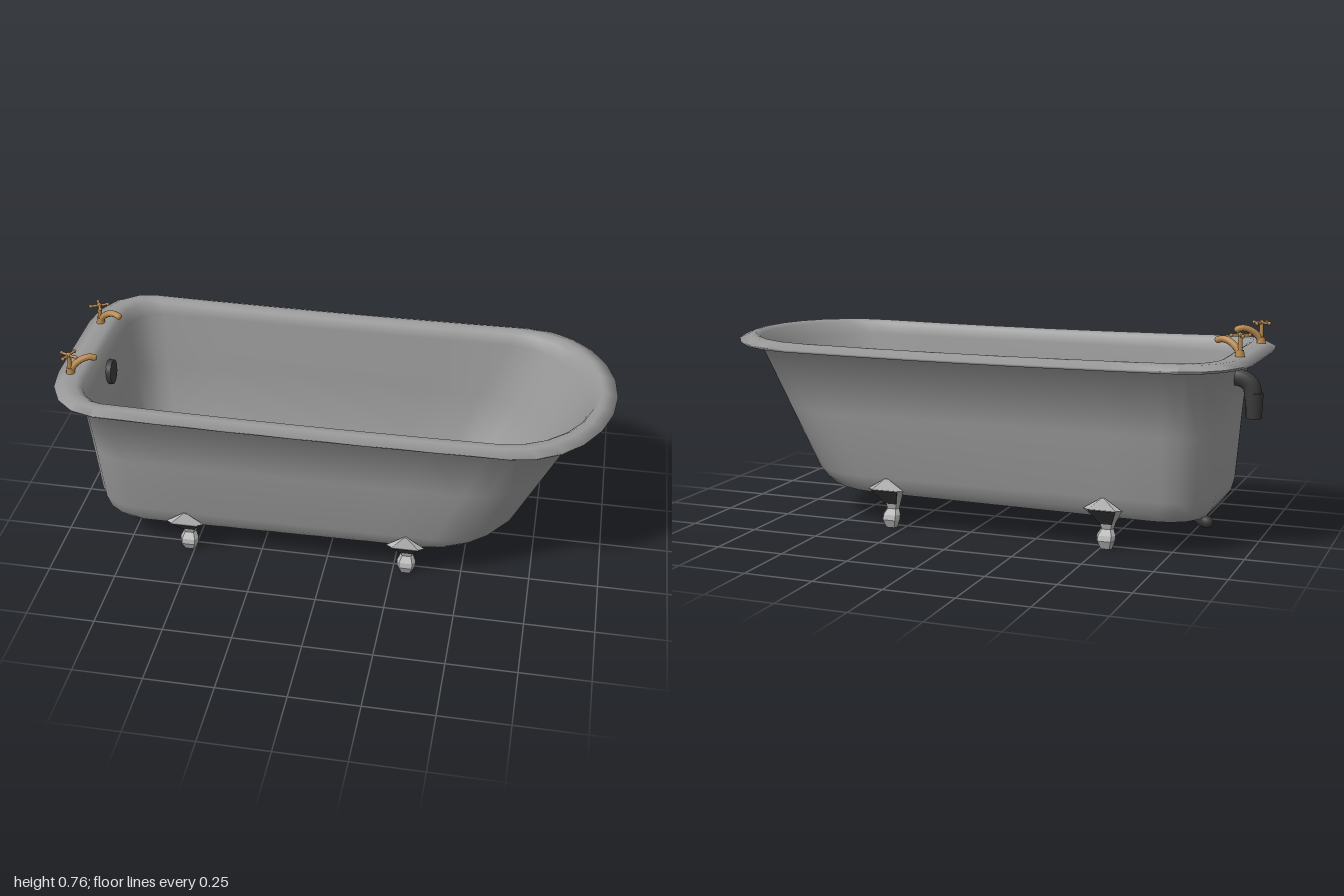
import * as THREE from 'three';
import { toCreasedNormals } from 'three/addons/utils/BufferGeometryUtils.js';

const V = (x, y, z) => new THREE.Vector3(x, y, z);

// Skin a list of equal-length closed rings into one surface.
function loft(rings) {
  const n = rings[0].length, pos = [], index = [];
  rings.forEach(r => r.forEach(p => pos.push(p.x, p.y, p.z)));
  for (let i = 0; i < rings.length - 1; i++) {
    for (let j = 0; j < n; j++) {
      const a = i * n + j, b = i * n + (j + 1) % n, c = b + n, d = a + n;
      index.push(a, d, c, a, c, b);
    }
  }
  const g = new THREE.BufferGeometry();
  g.setAttribute('position', new THREE.Float32BufferAttribute(pos, 3));
  g.setIndex(index);
  return g;
}

// Tub outline: round at +x, squared with rounded corners at -x.
// tilt slopes the height along x, sag lifts both ends.
function tubRing([y, xL, xR, w, xS, cx, cz, tilt = 0, sag = 0]) {
  const half = [];
  for (let i = 0; i <= 6; i++) {
    const a = i / 6 * Math.PI / 2;
    half.push([xS + (xR - xS) * Math.cos(a), w * Math.sin(a)]);
  }
  for (let i = 1; i < 6; i++) half.push([xS + (xL + cx - xS) * i / 6, w]);
  for (let i = 0; i <= 4; i++) {
    const a = i / 4 * Math.PI / 2;
    half.push([xL + cx - cx * Math.sin(a), w - cz + cz * Math.cos(a)]);
  }
  half.push([xL, 0]);
  const mirrored = half.slice(1, -1).reverse().map(([x, z]) => [x, -z]);
  return [...half, ...mirrored].map(([x, z]) => V(x, y + tilt * x + sag * x * x, z));
}

export function createModel() {
  const model = new THREE.Group();
  const mat = (name, color) => {
    const m = new THREE.MeshStandardMaterial({ color });
    m.name = name;
    return m;
  };
  const enamel = mat('grey enamel', 0x989898);
  const iron = mat('light metal', 0xb0b0b0);
  iron.flatShading = true;
  const dark = mat('dark metal', 0x3a3a3a);
  dark.side = THREE.DoubleSide;
  const brass = mat('brass', 0xb8894f);
  brass.side = THREE.DoubleSide;
  const add = (parent, name, geo, material) => {
    const m = new THREE.Mesh(geo, material);
    m.name = name;
    parent.add(m);
    return m;
  };

  // Tub: up the outside, over the rolled rim, down the inside
  const tub = loft([
    [0.090, -0.60, 0.40, 0.000, 0.20, 0.05, 0.000, 0.010],
    [0.098, -0.72, 0.50, 0.150, 0.28, 0.10, 0.090, 0.015],
    [0.122, -0.84, 0.64, 0.290, 0.36, 0.15, 0.150, 0.012],
    [0.150, -0.862, 0.67, 0.312, 0.38, 0.15, 0.160, 0.010],
    [0.190, -0.875, 0.70, 0.323, 0.40, 0.15, 0.170],
    [0.420, -0.890, 0.815, 0.351, 0.50, 0.16, 0.180],
    [0.650, -0.905, 0.930, 0.378, 0.60, 0.16, 0.180],
    [0.644, -0.995, 0.995, 0.427, 0.65, 0.20, 0.250, 0, 0.010],
    [0.653, -1.000, 1.000, 0.433, 0.65, 0.20, 0.250, 0, 0.010],
    [0.669, -0.960, 0.960, 0.400, 0.63, 0.16, 0.200, 0, 0.012],
    [0.671, -0.910, 0.945, 0.378, 0.61, 0.13, 0.150, 0, 0.012],
    [0.660, -0.888, 0.930, 0.364, 0.60, 0.12, 0.140, 0, 0.010],
    [0.620, -0.876, 0.903, 0.356, 0.58, 0.12, 0.140],
    [0.400, -0.864, 0.785, 0.333, 0.49, 0.12, 0.140],
    [0.200, -0.848, 0.680, 0.304, 0.41, 0.12, 0.130],
    [0.145, -0.820, 0.620, 0.280, 0.37, 0.11, 0.110],
    [0.132, -0.700, 0.480, 0.140, 0.28, 0.08, 0.070],
    [0.128, -0.600, 0.400, 0.000, 0.20, 0.05, 0.000],
  ].map(tubRing));
  add(model, 'tub', toCreasedNormals(tub, 1.75), enamel);

  // Feet: [y, z centre, half width, half depth]
  const legRings = [
    [0, 0.28, 0.001, 0.001], [0, 0.28, 0.022, 0.015], [0.03, 0.286, 0.034, 0.021],
    [0.048, 0.280, 0.034, 0.021], [0.068, 0.265, 0.023, 0.017], [0.09, 0.266, 0.03, 0.021],
    [0.15, 0.329, 0.07, 0.012], [0.19, 0.325, 0.006, 0.003], [0.19, 0.325, 0.001, 0.001],
  ].map(([y, z, hx, hz]) =>
    [[1, 0], [0.7, 1], [-0.7, 1], [-1, 0], [-0.7, -1], [0.7, -1]]
      .map(([u, v]) => V(u * hx, y, z + v * hz)));
  const legGeo = loft(legRings);
  const panelShape = new THREE.Shape([[-0.05, 0.04], [-0.022, -0.04], [0.022, -0.04], [0.05, 0.04]]
    .map(p => new THREE.Vector2(...p)));
  const panelGeo = new THREE.ExtrudeGeometry(panelShape, { depth: 0.004, bevelEnabled: false });
  for (const x of [-0.52, 0.30]) {
    for (const side of [0, 1]) {
      const leg = new THREE.Group();
      leg.name = 'leg';
      leg.position.x = x;
      leg.rotation.y = side * Math.PI;
      add(leg, 'clawFoot', legGeo, iron);
      const panel = add(leg, 'kneePanel', panelGeo, dark);
      panel.position.set(0, 0.12, 0.314);
      panel.rotation.x = Math.atan2(0.054, 0.06);
      model.add(leg);
    }
  }

  // Tube along a path, closed with a ball at its far end
  const pipe = (parent, name, pts, r, material) => {
    const path = new THREE.CatmullRomCurve3(pts);
    add(parent, name, new THREE.TubeGeometry(path, 12, r, 10), material);
    const end = add(parent, name + 'End', new THREE.SphereGeometry(r, 10, 8), material);
    end.position.copy(pts[pts.length - 1]);
  };

  // Waste pipe, overflow pipe and overflow cover
  pipe(model, 'drainPipe', [V(-0.775, 0.115, 0), V(-0.775, 0.085, 0), V(-0.79, 0.06, 0), V(-0.812, 0.053, 0)],
    0.022, dark);
  pipe(model, 'overflowPipe', [V(-0.885, 0.585, 0), V(-0.92, 0.582, 0), V(-0.953, 0.56, 0), V(-0.965, 0.51, 0)],
    0.031, dark);
  const sleeve = add(model, 'overflowSleeve', new THREE.CylinderGeometry(0.032, 0.028, 0.09, 12), dark);
  sleeve.position.set(-0.967, 0.487, 0);
  const cover = add(model, 'overflowCover', new THREE.CylinderGeometry(0.042, 0.042, 0.02, 16), dark);
  cover.rotation.z = Math.PI / 2;
  cover.scale.x = 1.15;
  cover.position.set(-0.866, 0.565, 0);

  // Taps, each turned slightly
  for (const [z, yaw] of [[0.203, 0.42], [-0.158, -0.34]]) {
    const tap = new THREE.Group();
    tap.name = 'tap';
    tap.position.set(-0.945, 0.675, z);
    tap.rotation.y = yaw;
    pipe(tap, 'spout', [V(0, 0, 0), V(0.008, 0.025, 0), V(0.035, 0.05, 0), V(0.068, 0.06, 0), V(0.088, 0.055, 0)],
      0.012, brass);
    const base = add(tap, 'base', new THREE.CylinderGeometry(0.013, 0.018, 0.03, 10), brass);
    base.position.y = 0.012;
    const stem = add(tap, 'stem', new THREE.CylinderGeometry(0.007, 0.009, 0.06, 8), brass);
    stem.position.y = 0.05;
    const knob = add(tap, 'knob', new THREE.SphereGeometry(0.010, 8, 6), brass);
    knob.position.y = 0.078;
    for (const a of [Math.PI / 4, -Math.PI / 4]) {
      const bar = new THREE.Group();
      bar.name = 'handleBar';
      bar.position.y = 0.078;
      bar.rotation.y = a;
      add(bar, 'bar', new THREE.CylinderGeometry(0.005, 0.005, 0.066, 8), brass).rotation.z = Math.PI / 2;
      for (const s of [-1, 1]) {
        add(bar, 'barEnd', new THREE.SphereGeometry(0.007, 8, 6), brass).position.x = s * 0.032;
      }
      tap.add(bar);
    }
    model.add(tap);
  }
  return model;
}
